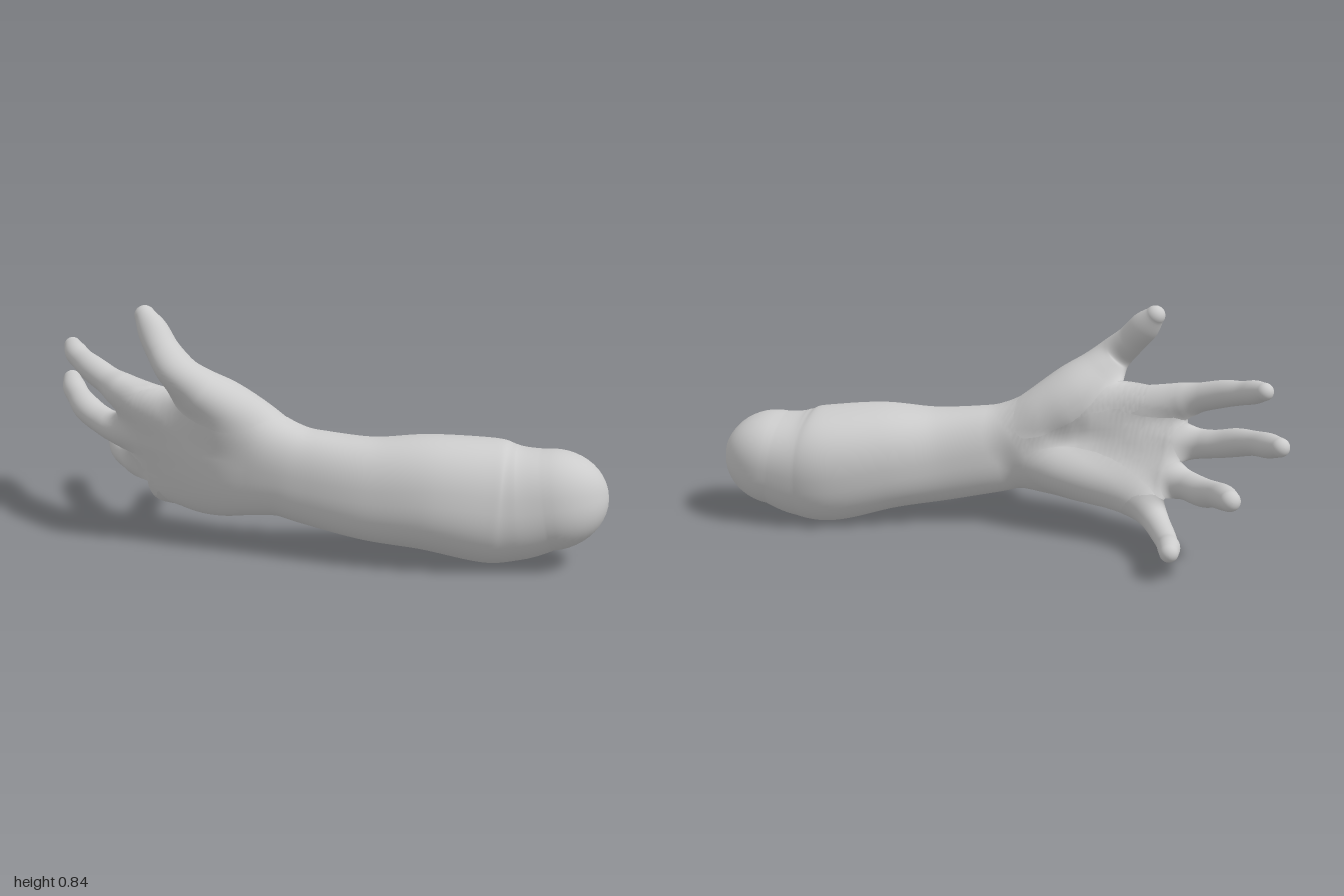
import * as THREE from 'three';

const material = new THREE.MeshStandardMaterial({ color: 0xcccccc });
const UP = new THREE.Vector3(0, 1, 0);
const BLEND = 0.08; // reach of the fillet between neighbouring limbs

// Smooth limb through sections [x, y, z, half height, half depth, roll in degrees],
// with a rounded cap at each end. Its rings are kept for blending.
function limb(name, sections, { steps = 60, sides = 40, power = 1, startCap = 1, endCap = 1 } = {}) {
  const spline = (pts) => new THREE.CatmullRomCurve3(pts, false, 'catmullrom', 0.5);
  const path = spline(sections.map(([x, y, z]) => new THREE.Vector3(x, y, z)));
  const size = spline(sections.map(([, , , a, b = a, roll = 0]) => new THREE.Vector3(a, b, roll)));

  // rows: curve parameter, scale and push along the tangent
  const rows = [];
  const capSteps = 12;
  for (let i = 0; i < capSteps; i++) {
    const q = (i / capSteps) * Math.PI / 2;
    rows.push([0, Math.max(Math.sin(q), 1e-3), -Math.cos(q) * startCap]);
  }
  for (let i = 0; i <= steps; i++) rows.push([i / steps, 1, 0]);
  for (let i = capSteps - 1; i >= 0; i--) {
    const q = (i / capSteps) * Math.PI / 2;
    rows.push([1, Math.max(Math.sin(q), 1e-3), Math.cos(q) * endCap]);
  }

  const positions = [], index = [], rings = [];
  const soft = (v) => Math.sign(v) * Math.abs(v) ** power;
  rows.forEach(([u, scale, push], r) => {
    const c = path.getPoint(u), t = path.getTangent(u), s = size.getPoint(u);
    const w = UP.clone().addScaledVector(t, -UP.dot(t)).normalize();
    w.applyAxisAngle(t, THREE.MathUtils.degToRad(s.z));
    const side = t.clone().cross(w);
    if (push === 0) rings.push({ c: c.clone(), axes: [w, side, t], radii: [s.x, s.y, Math.min(s.x, s.y)] });
    c.addScaledVector(t, push * Math.min(s.x, s.y));
    for (let j = 0; j < sides; j++) {
      const q = (j / sides) * Math.PI * 2;
      const p = c.clone()
        .addScaledVector(w, s.x * scale * soft(Math.cos(q)))
        .addScaledVector(side, s.y * scale * soft(Math.sin(q)));
      positions.push(p.x, p.y, p.z);
      if (r === rows.length - 1) continue;
      const k = (j + 1) % sides, a = r * sides, b = a + sides;
      index.push(a + j, a + k, b + j, a + k, b + k, b + j);
    }
  });
  const geometry = new THREE.BufferGeometry();
  geometry.setAttribute('position', new THREE.Float32BufferAttribute(positions, 3));
  geometry.setIndex(index);
  geometry.computeVertexNormals();
  const mesh = new THREE.Mesh(geometry, material);
  mesh.name = name;
  return { mesh, rings };
}

// Approximate distance from p to a limb, and the direction away from it
function distanceTo(rings, p) {
  let best = Infinity, away = null;
  const q = new THREE.Vector3();
  for (const { c, axes, radii } of rings) {
    q.subVectors(p, c);
    const k = axes.map((axis, i) => q.dot(axis) / radii[i]);
    const length = Math.hypot(...k);
    const slope = Math.hypot(k[0] / radii[0], k[1] / radii[1], k[2] / radii[2]) + 1e-6;
    const d = length * (length - 1) / slope;
    if (d < best) {
      best = d;
      away = { axes, g: k.map((v, i) => v / radii[i]) };
    }
  }
  const normal = new THREE.Vector3();
  away.axes.forEach((axis, i) => normal.addScaledVector(axis, away.g[i]));
  return { d: best, normal: normal.normalize() };
}

// Swell each limb where it meets another and share the normals, so skin runs on smoothly
function blend(limbs) {
  const boxes = limbs.map(({ mesh }) =>
    new THREE.Box3().setFromBufferAttribute(mesh.geometry.attributes.position).expandByScalar(BLEND));
  limbs.forEach(({ mesh }, self) => {
    const { position, normal } = mesh.geometry.attributes;
    const p = new THREE.Vector3(), n = new THREE.Vector3();
    for (let i = 0; i < position.count; i++) {
      p.fromBufferAttribute(position, i);
      n.fromBufferAttribute(normal, i);
      const own = n.clone();
      let swell = 0;
      limbs.forEach(({ rings }, other) => {
        if (other === self || !boxes[other].containsPoint(p)) return;
        const { d, normal: away } = distanceTo(rings, p);
        const h = Math.max(1 - Math.abs(d) / BLEND, 0);
        if (h === 0) return;
        swell = Math.max(swell, h * h * BLEND / 4);
        n.lerp(away, d > 0 ? h / 2 : 1 - h / 2);
      });
      p.addScaledVector(own, swell);
      n.normalize();
      position.setXYZ(i, p.x, p.y, p.z);
      normal.setXYZ(i, n.x, n.y, n.z);
    }
  });
}

export function createModel() {
  // Forearm from elbow to wrist, running on into the flat palm
  const limbs = [limb('forearmAndPalm', [
    [0.80, 0.228, 0.303, 0.170, 0.176, 8],
    [0.70, 0.212, 0.287, 0.194, 0.190, 10],
    [0.60, 0.214, 0.276, 0.211, 0.200, 10],
    [0.40, 0.240, 0.282, 0.196, 0.189, 8],
    [0.20, 0.247, 0.278, 0.176, 0.152, 4],
    [0.00, 0.275, 0.250, 0.164, 0.124, 0],
    [-0.10, 0.295, 0.237, 0.162, 0.112, -4],
    [-0.20, 0.305, 0.220, 0.180, 0.106, -7],
    [-0.30, 0.315, 0.202, 0.205, 0.100, -10],
    [-0.40, 0.324, 0.168, 0.216, 0.092, -13],
    [-0.50, 0.333, 0.112, 0.214, 0.080, -18],
    [-0.58, 0.340, 0.056, 0.200, 0.064, -24],
    [-0.64, 0.345, 0.008, 0.175, 0.044, -28],
  ], { steps: 130, sides: 72, power: 0.85, startCap: 1.16, endCap: 0.7 })];

  // Fleshy heel of the palm on the little finger side
  limbs.push(limb('palmHeel', [
    [-0.16, 0.260, 0.170, 0.060],
    [-0.25, 0.240, 0.125, 0.080],
    [-0.36, 0.220, 0.082, 0.090],
    [-0.46, 0.205, 0.030, 0.080],
    [-0.55, 0.185, -0.020, 0.058],
  ]));

  // Thumb with its broad base
  limbs.push(limb('thumb', [
    [-0.105, 0.350, 0.205, 0.070, 0.070],
    [-0.195, 0.430, 0.200, 0.088, 0.095],
    [-0.300, 0.505, 0.218, 0.094, 0.115],
    [-0.395, 0.572, 0.243, 0.082, 0.098],
    [-0.460, 0.638, 0.256, 0.065, 0.075],
    [-0.513, 0.700, 0.216, 0.055, 0.060],
    [-0.556, 0.762, 0.168, 0.054, 0.052],
    [-0.588, 0.808, 0.136, 0.036, 0.036],
  ]));

  // Web of skin between thumb and index finger
  limbs.push(limb('thumbWeb', [
    [-0.30, 0.440, 0.195, 0.070, 0.070],
    [-0.44, 0.475, 0.160, 0.064, 0.056],
    [-0.58, 0.490, 0.098, 0.050, 0.048],
    [-0.68, 0.515, 0.045, 0.034, 0.034],
  ]));

  // Fingers from inside the palm to the tip, swelling slightly at the joints
  const fingers = {
    indexFinger: [
      [-0.40, 0.430, 0.175, 0.035], [-0.55, 0.475, 0.115, 0.052],
      [-0.680, 0.516, 0.050, 0.054], [-0.755, 0.548, -0.010, 0.051],
      [-0.820, 0.575, -0.070, 0.048], [-0.868, 0.593, -0.130, 0.042],
      [-0.902, 0.610, -0.180, 0.041], [-0.926, 0.626, -0.234, 0.031],
    ],
    middleFinger: [
      [-0.40, 0.375, 0.160, 0.035], [-0.55, 0.365, 0.082, 0.052],
      [-0.700, 0.370, 0.015, 0.054], [-0.790, 0.388, -0.060, 0.050],
      [-0.858, 0.415, -0.130, 0.050], [-0.903, 0.437, -0.210, 0.043],
      [-0.938, 0.453, -0.290, 0.043], [-0.963, 0.470, -0.367, 0.033],
    ],
    ringFinger: [
      [-0.38, 0.285, 0.145, 0.035], [-0.53, 0.265, 0.055, 0.052],
      [-0.630, 0.247, -0.015, 0.054], [-0.690, 0.247, -0.095, 0.052],
      [-0.737, 0.252, -0.190, 0.051], [-0.766, 0.275, -0.280, 0.045],
      [-0.782, 0.296, -0.370, 0.044], [-0.790, 0.311, -0.452, 0.036],
    ],
    littleFinger: [
      [-0.35, 0.215, 0.125, 0.035], [-0.48, 0.185, 0.040, 0.056],
      [-0.545, 0.157, -0.040, 0.054], [-0.580, 0.125, -0.115, 0.047],
      [-0.600, 0.104, -0.200, 0.042], [-0.608, 0.098, -0.280, 0.038],
      [-0.607, 0.104, -0.340, 0.039], [-0.602, 0.104, -0.388, 0.033],
    ],
  };
  for (const [name, sections] of Object.entries(fingers)) limbs.push(limb(name, sections));

  blend(limbs);
  const group = new THREE.Group();
  group.name = 'forearmAndHand';
  group.add(...limbs.map(({ mesh }) => mesh));
  return group;
}
